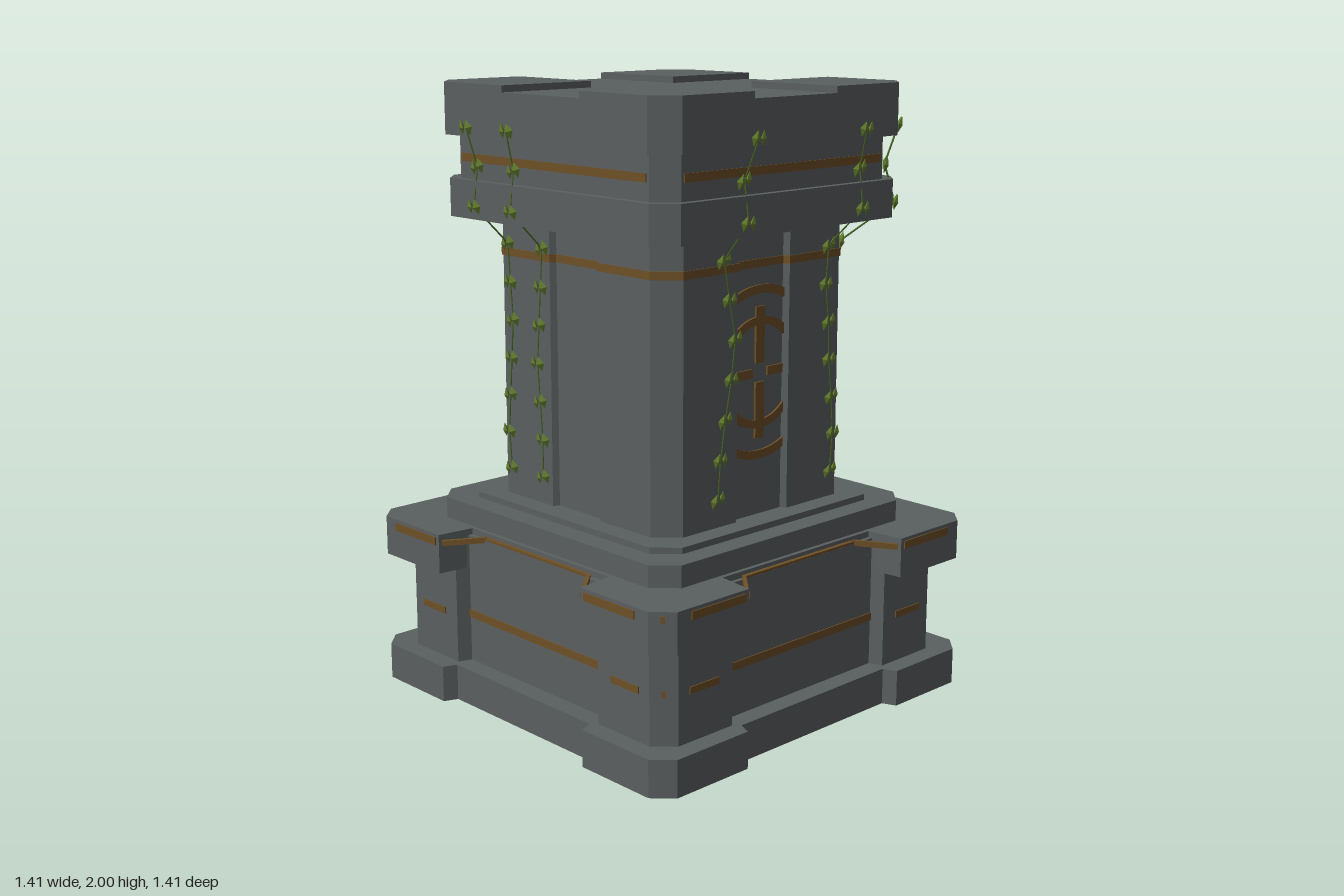
import * as THREE from 'three';

const mat = (name, color, extra) => {
  const m = new THREE.MeshStandardMaterial({ color, ...extra });
  m.name = name;
  return m;
};

export function createModel() {
  const stone = mat('stone', 0x5a5f60);
  const bronze = mat('bronze', 0x6e5027);
  const leafGreen = mat('leafGreen', 0x66802f);
  const stemGreen = mat('stemGreen', 0x4c6a28);
  const root = new THREE.Group();
  root.name = 'pedestal';

  const add = (name, geo, material, parent = root) => {
    const m = new THREE.Mesh(geo, material);
    m.name = name;
    parent.add(m);
    return m;
  };

  // Extrudes a plan outline upward from y0 to y1
  const slab = (name, pts, y0, y1, material = stone) => {
    const shape = new THREE.Shape(pts.map(([x, y]) => new THREE.Vector2(x, y)));
    const geo = new THREE.ExtrudeGeometry(shape, { depth: y1 - y0, bevelEnabled: false });
    geo.rotateX(-Math.PI / 2);
    geo.translate(0, y0, 0);
    return add(name, geo, material);
  };

  // Repeats one side of a plan around the four sides
  const fourSides = (side) => {
    const out = [];
    for (let k = 0; k < 4; k++) {
      const c = [1, 0, -1, 0][k], s = [0, 1, 0, -1][k];
      side.forEach(([x, y]) => out.push([x * c - y * s, x * s + y * c]));
    }
    return out;
  };
  const octagon = (h, c) => fourSides([[h, c - h], [h, h - c]]);
  // Chamfered square, each side recessed to depth i between -n and n
  const notched = (h, c, i, n, slant) => fourSides([
    [h, c - h], [h, -n - slant], [i, -n], [i, n], [h, n + slant], [h, h - c],
  ]);

  // Base
  slab('plinth', notched(0.7, 0.06, 0.655, 0.33, 0.018), 0, 0.12);
  slab('baseBody', notched(0.635, 0.06, 0.59, 0.335, 0.015), 0.12, 0.55);
  slab('baseCornerCaps', notched(0.7, 0.06, 0.575, 0.335, 0.015), 0.44, 0.57);
  slab('lowerTrim', octagon(0.56, 0.07), 0.57, 0.64);
  slab('upperTrim', octagon(0.485, 0.07), 0.64, 0.66);

  // Shaft with a recessed groove on each side and a bronze band following it
  slab('shaft', notched(0.415, 0.07, 0.395, 0.105, 0.01), 0.66, 1.575);
  slab('shaftBand', notched(0.419, 0.07, 0.399, 0.102, 0.009), 1.452, 1.477, bronze);

  // Capital
  slab('capitalFlange', octagon(0.53, 0.065), 1.575, 1.697);
  slab('capitalNeck', octagon(0.505, 0.065), 1.697, 1.835);
  slab('capitalTop', octagon(0.54, 0.07), 1.835, 1.979);
  for (let k = 0; k < 4; k++) {
    slab('topCornerPad', [[0.18, 0.18], [0.54, 0.18], [0.54, 0.47], [0.47, 0.54], [0.18, 0.54]], 1.979, 2)
      .rotation.y = k * Math.PI / 2;
  }

  // Bronze inlays, repeated on every side
  for (let k = 0; k < 4; k++) {
    const side = new THREE.Group();
    side.name = 'sideInlays';
    side.rotation.y = k * Math.PI / 2;
    root.add(side);
    const stripe = (name, w, x, y, z, h = 0.026) =>
      add(name, new THREE.BoxGeometry(w, h, 0.008), bronze, side).position.set(x, y, z);
    stripe('panelStripe', 0.68, 0, 0.283, 0.59);
    stripe('neckStripe', 0.86, 0, 1.765, 0.505);
    add('recessTrim', new THREE.BoxGeometry(0.5, 0.012, 0.015), bronze, side).position.set(0, 0.552, 0.582);
    for (const s of [-1, 1]) {
      stripe('postStripe', 0.12, s * 0.47, 0.283, 0.635, 0.022);
      stripe('capStripe', 0.22, s * 0.475, 0.546, 0.7);
      // Slanting trim that runs from the recess out to the corner block
      const a = new THREE.Vector3(s * 0.25, 0.552, 0.582);
      const b = new THREE.Vector3(s * 0.345, 0.542, 0.69);
      const bar = add('slantTrim', new THREE.BoxGeometry(0.012, 0.018, a.distanceTo(b)), bronze, side);
      bar.position.copy(a).lerp(b, 0.5);
      bar.lookAt(b.clone().applyAxisAngle(new THREE.Vector3(0, 1, 0), side.rotation.y));
    }
    // Small marks on the chamfered corners
    const corner = new THREE.Group();
    corner.name = 'cornerMarks';
    corner.rotation.y = Math.PI / 4;
    side.add(corner);
    [[0.283, 0.635], [0.546, 0.7]].forEach(([y, h]) => {
      add('cornerMark', new THREE.BoxGeometry(0.012, 0.022, 0.006), bronze, corner)
        .position.set(0, y, (2 * h - 0.06) / Math.SQRT2);
    });
  }

  // Emblem in the front groove: ring arcs cut off by the groove, and a broken cross
  const emblem = new THREE.Group();
  emblem.name = 'emblem';
  emblem.position.set(0, 1.12, 0.395);
  root.add(emblem);
  const thin = { depth: 0.007, bevelEnabled: false, curveSegments: 16 };
  [[0.25, 0.277], [0.152, 0.178]].forEach(([r0, r1]) => {
    for (const turn of [0, Math.PI]) {
      const a1 = Math.acos(0.106 / r1), a0 = Math.acos(0.106 / r0);
      const arc = new THREE.Shape();
      arc.absarc(0, 0, r1, a1, Math.PI - a1, false);
      arc.absarc(0, 0, r0, Math.PI - a0, a0, true);
      add('ringArc', new THREE.ExtrudeGeometry(arc, thin), bronze, emblem).rotation.z = turn;
    }
  });
  for (const s of [-1, 1]) {
    add('crossUpright', new THREE.BoxGeometry(0.038, 0.18, 0.008), bronze, emblem).position.set(0, s * 0.12, 0.003);
    add('crossArm', new THREE.BoxGeometry(0.07, 0.028, 0.008), bronze, emblem).position.set(s * 0.068, 0, 0.003);
  }

  // Vines: sideways positions at evenly spaced heights, hugging the stone
  const leafGeo = new THREE.OctahedronGeometry(1, 0);
  leafGeo.scale(0.015, 0.026, 0.009);
  const flatDepth = [0.55, 0.516, 0.54, 0.425];
  const cornerDepth = [0.722, 0.68, 0.715, 0.545];
  const vine = (angle, xs, depth = flatDepth) => {
    const g = new THREE.Group();
    g.name = 'vine';
    g.rotation.y = angle;
    root.add(g);
    const pts = xs.map((x, i) => {
      const inGroove = i > 2 && Math.abs(x) < 0.1 && depth === flatDepth;
      return new THREE.Vector3(x, 1.865 - i * 0.1235, depth[Math.min(i, 3)] - (inGroove ? 0.02 : 0));
    });
    const path = new THREE.CurvePath();
    for (let i = 1; i < pts.length; i++) path.add(new THREE.LineCurve3(pts[i - 1], pts[i]));
    add('stem', new THREE.TubeGeometry(path, pts.length * 4, 0.003, 4), stemGreen, g);
    pts.forEach((p, i) => {
      for (const s of [-1, 1]) {
        const leaf = add('leaf', leafGeo, leafGreen, g);
        leaf.position.set(p.x + s * 0.016, p.y + (i % 2 ? s * 0.004 : 0), p.z + 0.003);
        leaf.rotation.set(0.2, s * 0.4, s * 0.15);
      }
    });
  };
  vine(0, [-0.17, -0.195, -0.2, -0.185, -0.16, -0.135, -0.15, -0.175, -0.195, -0.205]);
  vine(0, [0.31, 0.32, 0.31, 0.285, 0.275, 0.29, 0.295, 0.31, 0.32, 0.31]);
  vine(Math.PI / 2, [0.14, 0.15, 0.15, 0.14, 0.19, 0.18, 0.16, 0.14, 0.14, 0.15]);
  vine(Math.PI, [0.02, 0.01, 0.01, 0.03, 0.04, 0.03, 0.01, 0.0, 0.02, 0.03]);
  vine(-Math.PI / 2, [-0.35, -0.34, -0.33, -0.31, -0.3, -0.29, -0.3, -0.31, -0.32, -0.31]);
  vine(-Math.PI / 2, [-0.15, -0.16, -0.15, -0.14, -0.15, -0.16, -0.17, -0.16, -0.15, -0.15]);
  vine(Math.PI / 4, [0.01, 0, 0.01, 0], cornerDepth);
  vine(Math.PI * 0.75, [-0.01, 0, 0], cornerDepth);

  return root;
}
